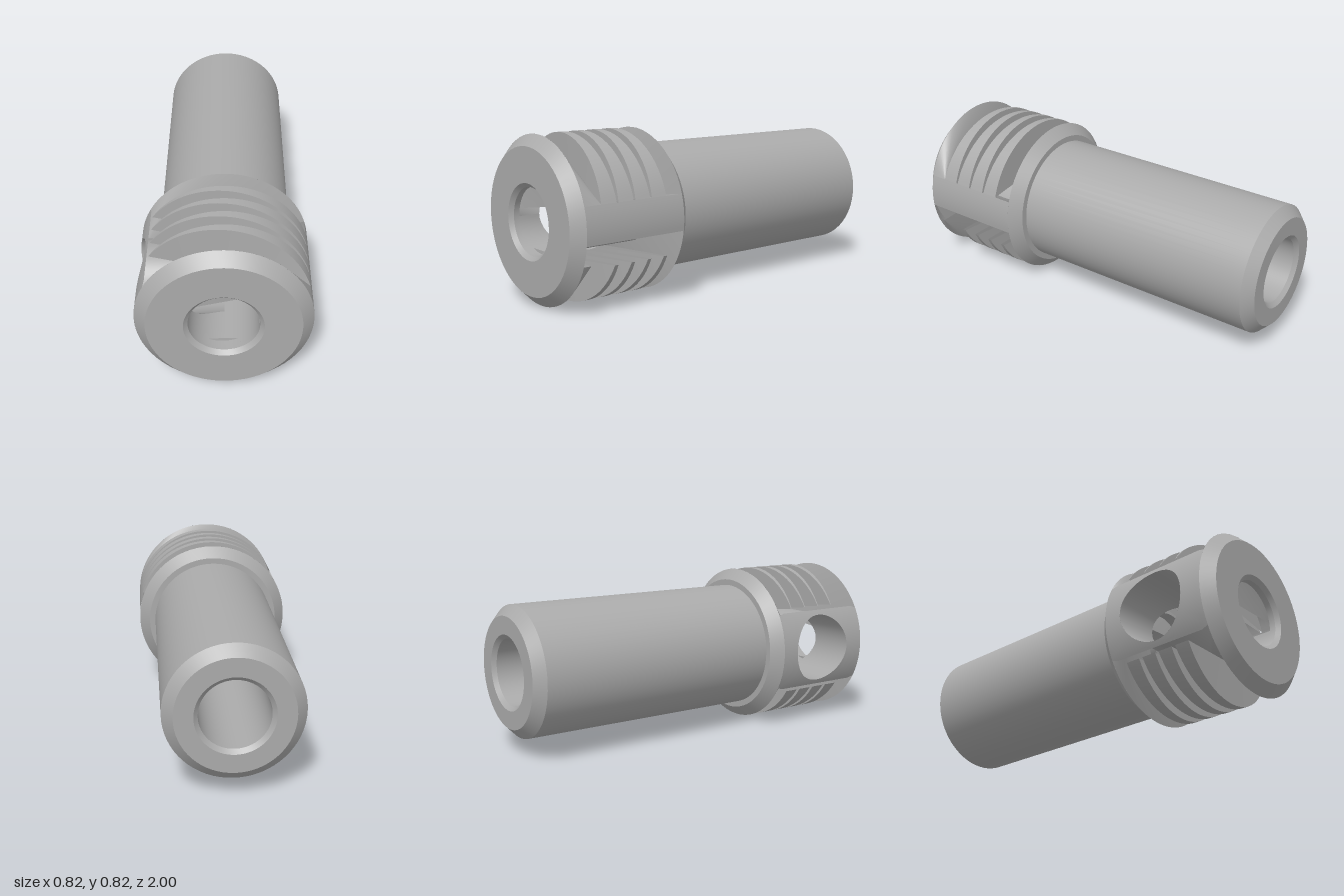
import * as THREE from 'three';
import { toCreasedNormals } from 'three/addons/utils/BufferGeometryUtils.js';

const CY = 0.413, R = 0.412, BORE = 0.165;
const rad = THREE.MathUtils.degToRad;
const lerp = THREE.MathUtils.lerp;

// Point on a circle around the long axis
const ring = (r, deg, z) => [r * Math.cos(rad(deg)), r * Math.sin(rad(deg)), z];

export function createModel() {
  const steel = new THREE.MeshStandardMaterial({ color: 0xaaaaaa, side: THREE.DoubleSide });
  steel.name = 'grey steel';
  const model = new THREE.Group();
  model.name = 'slottedSleeve';
  const body = new THREE.Group();
  body.name = 'body';
  body.position.y = CY;
  model.add(body);

  const add = (name, geometry, parent = body) => {
    const mesh = new THREE.Mesh(toCreasedNormals(geometry, 0.4), steel);
    mesh.name = name;
    parent.add(mesh);
  };

  // Turned part: profile of [radius, z]
  const turned = (name, profile) => {
    const pts = profile.map(([r, z]) => new THREE.Vector2(r, z));
    add(name, new THREE.LatheGeometry(pts, 64).rotateX(Math.PI / 2));
  };

  // Grid surface from a rule f(u, v) -> [x, y, z]
  const sheet = (name, nu, nv, f, parent) => {
    const pos = [], idx = [];
    for (let i = 0; i <= nu; i++) {
      for (let j = 0; j <= nv; j++) {
        pos.push(...f(i / nu, j / nv));
        if (i < nu && j < nv) {
          const a = i * (nv + 1) + j, b = a + nv + 1;
          idx.push(a, b, a + 1, b, b + 1, a + 1);
        }
      }
    }
    const g = new THREE.BufferGeometry();
    g.setAttribute('position', new THREE.Float32BufferAttribute(pos, 3));
    g.setIndex(idx);
    add(name, g, parent);
  };

  // Flat-sided fan from a rim arc to one apex
  const fan = (name, from, to, z, apex) =>
    sheet(name, 40, 1, (u, v) => ring(R, lerp(from, to, u), z).map((c, k) => lerp(c, apex[k], v)));

  // Shaft with chamfered end, through bore and rear collar
  turned('shaft', [
    [BORE, 0.48], [BORE, -0.98], [0.185, -1], [0.275, -1], [0.326, -0.95],
    [0.326, 0.335], [0.357, 0.335], [R, 0.39],
  ]);

  // Front collar with chamfered rim and bore mouth
  turned('frontCollar', [[R, 0.945], [0.358, 1], [0.185, 1], [BORE, 0.98], [BORE, 0.95]]);

  // Slanted inner faces of the collars
  fan('frontCollarUpperFace', 17, 180, 0.945, [0.394, 0.12, 0.855]);
  fan('frontCollarLowerFace', 200, 338, 0.945, [0.382, -0.155, 0.905]);
  fan('rearCollarUpperFace', 17, 180, 0.39, [-0.408, 0.005, 0.48]);
  fan('rearCollarLowerFace', 188, 352, 0.39, [-0.408, -0.02, 0.48]);

  // Plain wall on the +x side
  sheet('sideWall', 8, 1, (u, v) => ring(R, lerp(-8, 17, u), lerp(0.39, 0.945, v)));

  // Lower half of the bore, cut away by the cross hole
  const HOLE = 0.18, HZ = 0.66;
  sheet('boreFloor', 16, 1, (u, v) => ring(BORE, lerp(270, 352, u), lerp(0.46, 0.95, v)));
  sheet('boreFloorFront', 16, 1, (u, v) => {
    const a = lerp(180, 270, u), s = BORE * Math.sin(rad(a));
    return ring(BORE, a, lerp(HZ + Math.sqrt(HOLE * HOLE - s * s), 0.95, v));
  });

  // Wall on the -x side with a round cross hole
  const onSkin = (dy, z) => [-Math.sqrt(R * R - dy * dy), dy, z];
  sheet('holeWall', 72, 6, (u, v) => {
    const c = Math.cos(u * 2 * Math.PI), s = Math.sin(u * 2 * Math.PI);
    const k = Math.min(0.278 / Math.max(Math.abs(c), 1e-6), 0.205 / Math.max(Math.abs(s), 1e-6));
    const r = lerp(HOLE, k, v);
    return onSkin(r * s, lerp(HZ, 0.6675, v) + r * c);
  });

  // Inside of the cross hole, running in to the bore
  sheet('crossHole', 48, 1, (u, v) => {
    const a = u * 2 * Math.PI, dy = HOLE * Math.sin(a), z = HZ + HOLE * Math.cos(a);
    const inner = -Math.sqrt(Math.max(BORE * BORE - dy * dy, 0));
    return [lerp(onSkin(dy, z)[0], inner, v), dy, z];
  });

  // Tapered fin: arc on the outside, straight chord on the inside
  const fin = (name, from, to, z, startWidth, endWidth) => {
    const group = new THREE.Group();
    group.name = name;
    body.add(group);
    const front = (u) => z + lerp(startWidth, endWidth, u);
    const a = ring(R, from, 0), b = ring(R, to, 0);
    const section = (u, v, depth) => {
      const p = ring(R, lerp(from, to, u), 0);
      return [lerp(p[0], lerp(a[0], b[0], u), v), lerp(p[1], lerp(a[1], b[1], u), v), depth];
    };
    sheet('finRim', 32, 1, (u, v) => section(u, 0, lerp(z, front(u), v)), group);
    sheet('finRear', 32, 1, (u, v) => section(u, v, z), group);
    sheet('finFront', 32, 1, (u, v) => section(u, v, front(u)), group);
  };
  for (let i = 0; i < 4; i++) {
    const z = 0.485 + i * 0.095;
    fin('upperFin', 17, 147, z, 0.085, 0.004);
    fin('lowerFin', -25, -147, z - 0.02, 0.02, 0.075);
  }
  return model;
}
